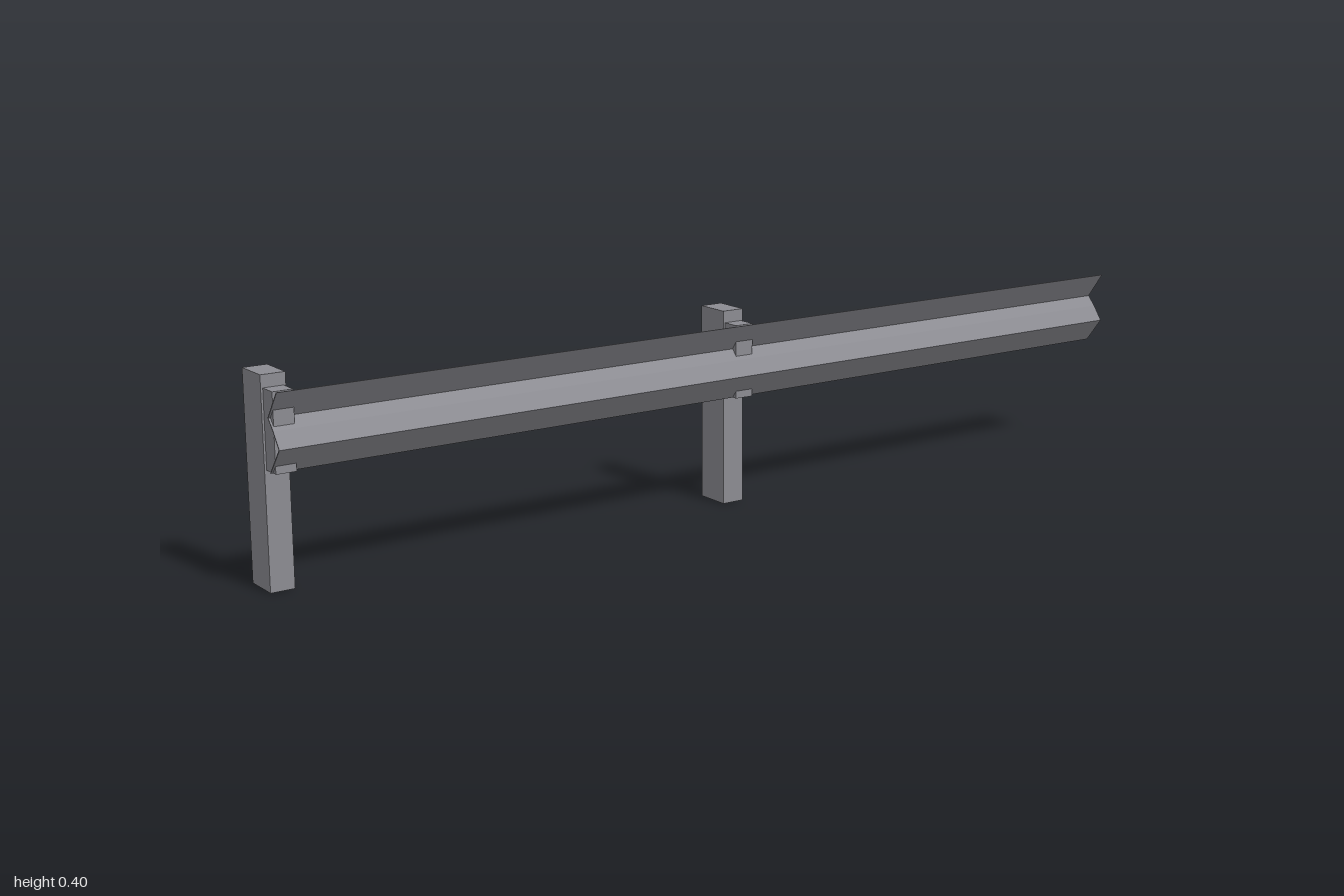
import * as THREE from 'three';

export function createModel() {
  const model = new THREE.Group();
  model.name = 'guardRail';
  const steel = new THREE.MeshStandardMaterial({ color: 0x8c8c92 });
  steel.name = 'galvanised steel';

  // box given by its minimum and maximum corners
  function box(name, min, max, parent) {
    const size = max.map((v, i) => v - min[i]);
    const mesh = new THREE.Mesh(new THREE.BoxGeometry(...size), steel);
    mesh.position.set(...max.map((v, i) => (v + min[i]) / 2));
    mesh.name = name;
    parent.add(mesh);
  }

  // posts with their spacer blocks
  for (const x of [-1, 0]) {
    const support = new THREE.Group();
    support.name = 'support';
    support.position.x = x;
    box('post', [0, 0, -0.07], [0.048, 0.4, 0.005], support);
    box('spacerBlock', [0.004, 0.227, 0.005], [0.044, 0.376, 0.043], support);
    model.add(support);
  }

  // folded rail: thin sheet profile as [z, y], run along x
  const front = [[0.07, 0.38], [0.031, 0.327], [0.049, 0.307], [0.071, 0.277], [0.031, 0.227]];
  const back = front.map(([z, y]) => [z - 0.003, y]).reverse();
  const profile = new THREE.Shape([...front, ...back].map(([z, y]) => new THREE.Vector2(z, y)));
  const railGeometry = new THREE.ExtrudeGeometry(profile, { depth: 2, bevelEnabled: false });
  railGeometry.rotateY(-Math.PI / 2).translate(1, 0, 0);
  const rail = new THREE.Mesh(railGeometry, steel);
  rail.name = 'rail';
  model.add(rail);

  return model;
}
